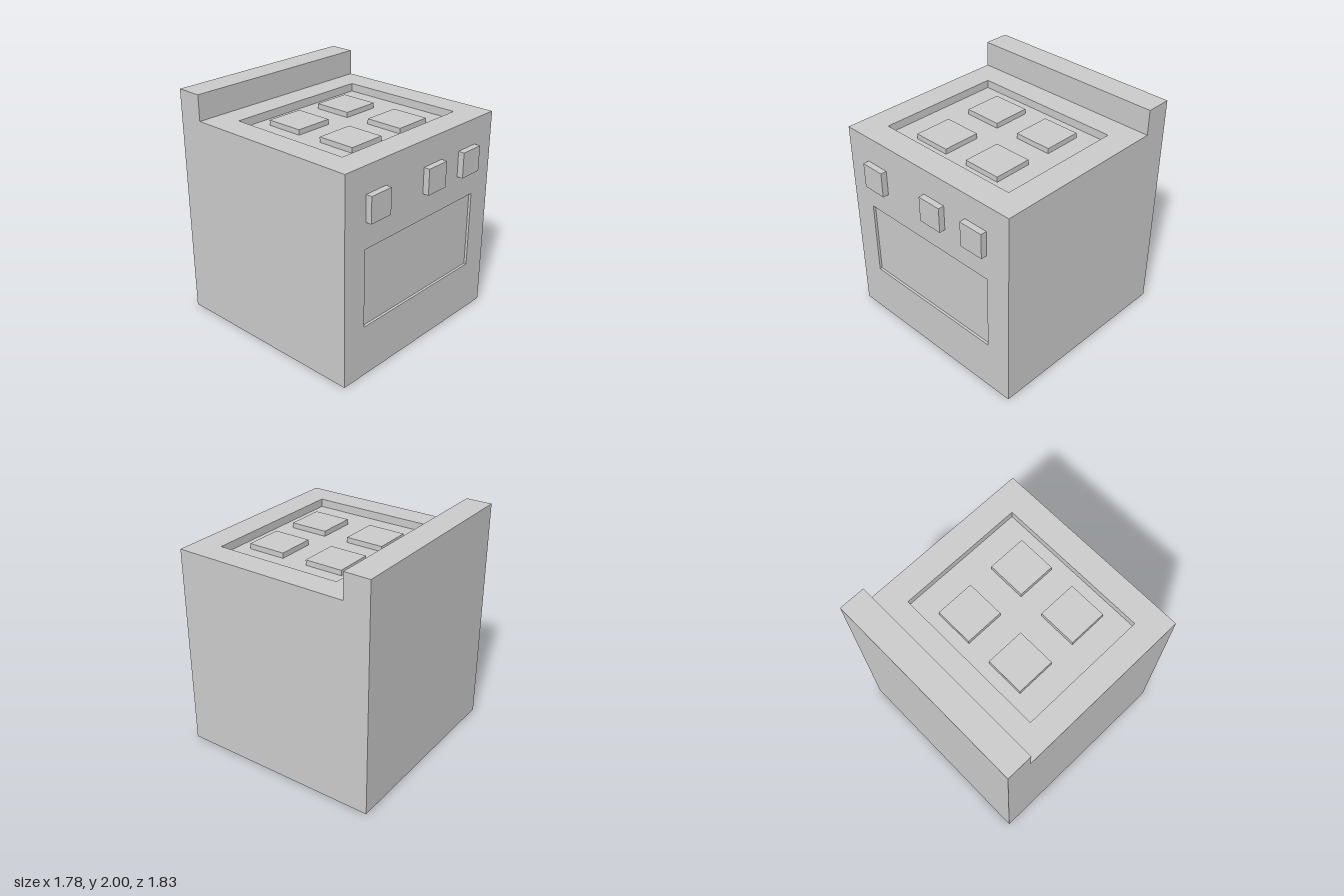
import * as THREE from 'three';

const W = 0.889, FRONT = 0.862, BACK = -0.915, TOP = 1.78, HEIGHT = 2, SPLASH = -0.69;
const HALF = Math.PI / 2;

export function createModel() {
  const root = new THREE.Group();
  root.name = 'stove';
  const material = new THREE.MeshStandardMaterial({ color: 0xcccccc, flatShading: true });

  function add(parent, name, geometry, x = 0, y = 0, z = 0, rx = 0, ry = 0) {
    const mesh = new THREE.Mesh(geometry, material);
    mesh.name = name;
    mesh.position.set(x, y, z);
    mesh.rotation.set(rx, ry, 0);
    parent.add(mesh);
    return mesh;
  }
  const plane = (w, h) => new THREE.PlaneGeometry(w, h);
  const rect = ([x0, y0, x1, y1]) => [[x0, y0], [x1, y0], [x1, y1], [x0, y1]].map(p => new THREE.Vector2(...p));

  // Flat face towards +z with a rectangular pocket sunk into it
  function recessedPanel(name, outer, hole, depth) {
    const group = new THREE.Group();
    group.name = name;
    const shape = new THREE.Shape(rect(outer));
    shape.holes.push(new THREE.Path(rect(hole)));
    const [x0, y0, x1, y1] = hole;
    const w = x1 - x0, h = y1 - y0, cx = (x0 + x1) / 2, cy = (y0 + y1) / 2;
    add(group, name + 'Face', new THREE.ShapeGeometry(shape));
    add(group, name + 'Floor', plane(w, h), cx, cy, -depth);
    add(group, name + 'WallLow', plane(w, depth), cx, y0, -depth / 2, -HALF);
    add(group, name + 'WallHigh', plane(w, depth), cx, y1, -depth / 2, HALF);
    add(group, name + 'WallRight', plane(depth, h), x0, cy, -depth / 2, 0, HALF);
    add(group, name + 'WallLeft', plane(depth, h), x1, cy, -depth / 2, 0, -HALF);
    root.add(group);
    return group;
  }

  // Front with the oven window, and the cooktop with its sunken tray
  const front = recessedPanel('ovenFront', [-W, 0, W, TOP], [-0.67, 0.445, 0.667, 1.115], 0.022);
  front.position.z = FRONT;
  const cooktop = recessedPanel('cooktop', [-W, -FRONT, W, -SPLASH], [-0.67, -0.637, 0.667, 0.477], 0.069);
  cooktop.position.y = TOP;
  cooktop.rotation.x = -HALF;

  // Side walls share one L-shaped profile that rises into the backsplash
  const profile = [[BACK, 0], [FRONT, 0], [FRONT, TOP], [SPLASH, TOP], [SPLASH, HEIGHT], [BACK, HEIGHT]];
  for (const side of [1, -1]) {
    const shape = new THREE.Shape(profile.map(([z, y]) => new THREE.Vector2(-side * z, y)));
    add(root, side > 0 ? 'leftSide' : 'rightSide', new THREE.ShapeGeometry(shape), side * W, 0, 0, 0, side * HALF);
  }

  // Back, underside and backsplash faces
  add(root, 'back', plane(2 * W, HEIGHT), 0, HEIGHT / 2, BACK, 0, Math.PI);
  add(root, 'underside', plane(2 * W, FRONT - BACK), 0, 0, (FRONT + BACK) / 2, HALF);
  add(root, 'backsplashFront', plane(2 * W, HEIGHT - TOP), 0, (HEIGHT + TOP) / 2, SPLASH);
  add(root, 'backsplashTop', plane(2 * W, SPLASH - BACK), 0, HEIGHT, (SPLASH + BACK) / 2, -HALF);

  // Burners on the tray floor
  for (const x of [-0.278, 0.278])
    for (const z of [-0.195, 0.362])
      add(root, 'burner', new THREE.BoxGeometry(0.333, 0.045, 0.333), x, 1.7335, z);

  // Control knobs
  for (const x of [-0.556, 0.11, 0.556])
    add(root, 'knob', new THREE.BoxGeometry(0.22, 0.22, 0.053), x, 1.446, FRONT + 0.0265);

  return root;
}
